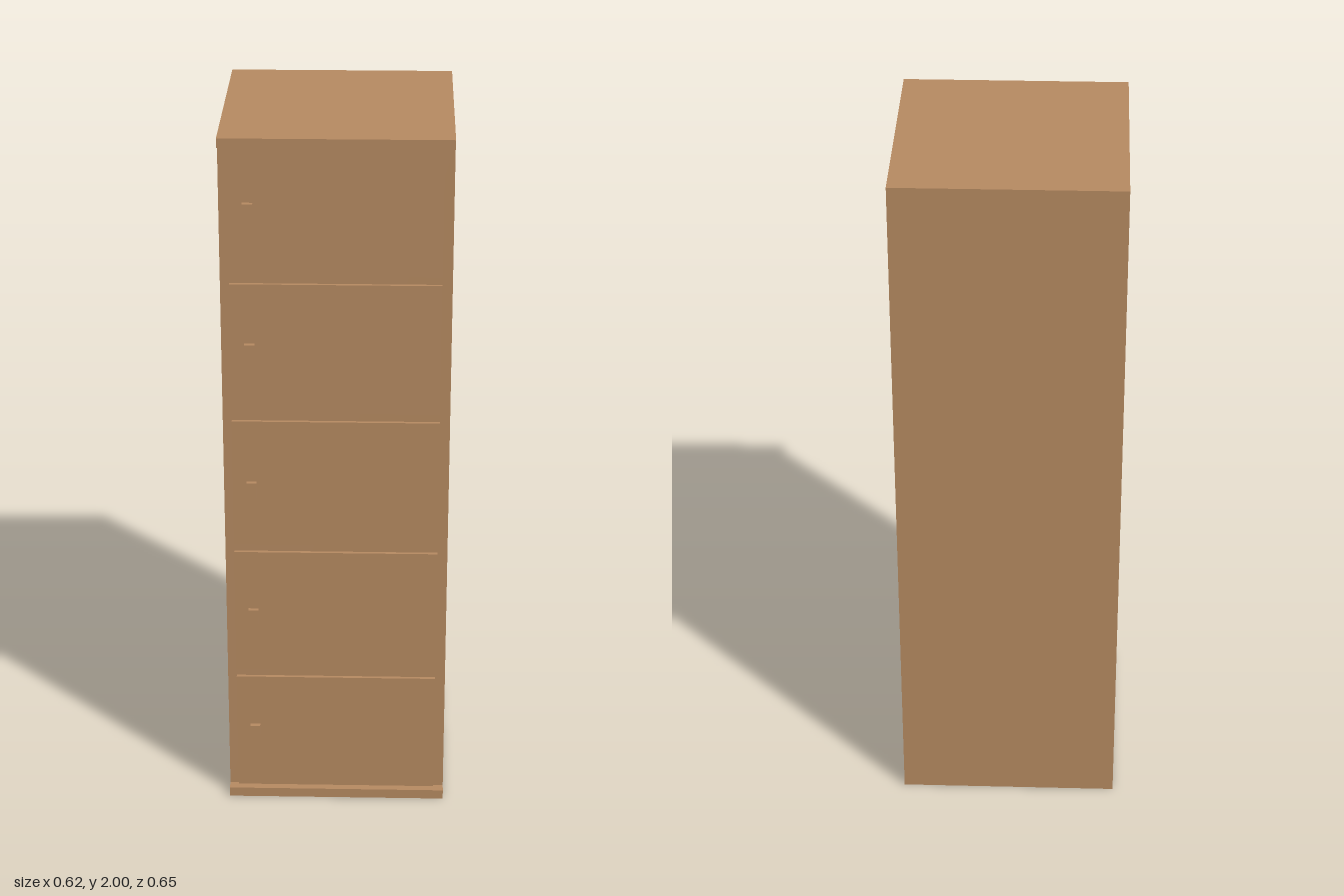
import * as THREE from 'three';

export function createModel() {
  const locker = new THREE.Group();
  locker.name = 'lockerCabinet';
  const wood = new THREE.MeshStandardMaterial({ color: 0xb68a61 });
  wood.name = 'wood';

  // Box given by its low and high corner on each axis
  function box(name, [x0, x1], [y0, y1], [z0, z1], parent = locker) {
    const mesh = new THREE.Mesh(new THREE.BoxGeometry(x1 - x0, y1 - y0, z1 - z0), wood);
    mesh.position.set((x0 + x1) / 2, (y0 + y1) / 2, (z0 + z1) / 2);
    mesh.name = name;
    parent.add(mesh);
  }

  // Carcass between a base and a top that overhang at the front
  const W = 0.311, back = -0.326, face = 0.297, lip = 0.326;
  box('base', [-W, W], [0, 0.028], [back, lip]);
  box('carcass', [-W, W], [0.028, 1.974], [back, face]);
  box('top', [-W, W], [1.974, 2], [back, lip]);

  // Five doors, each with a small handle: door bottom, door top, handle bottom
  const rows = [
    [0.03, 0.39, 0.188],
    [0.415, 0.79, 0.566],
    [0.815, 1.19, 0.963],
    [1.215, 1.59, 1.374],
    [1.615, 1.972, 1.773],
  ];
  rows.forEach(([y0, y1, h], i) => {
    const group = new THREE.Group();
    group.name = `doorUnit${i + 1}`;
    box('door', [-0.286, 0.283], [y0, y1], [face, 0.307], group);
    box('handle', [-0.248, -0.22], [h, h + 0.046], [0.307, 0.321], group);
    locker.add(group);
  });

  return locker;
}
